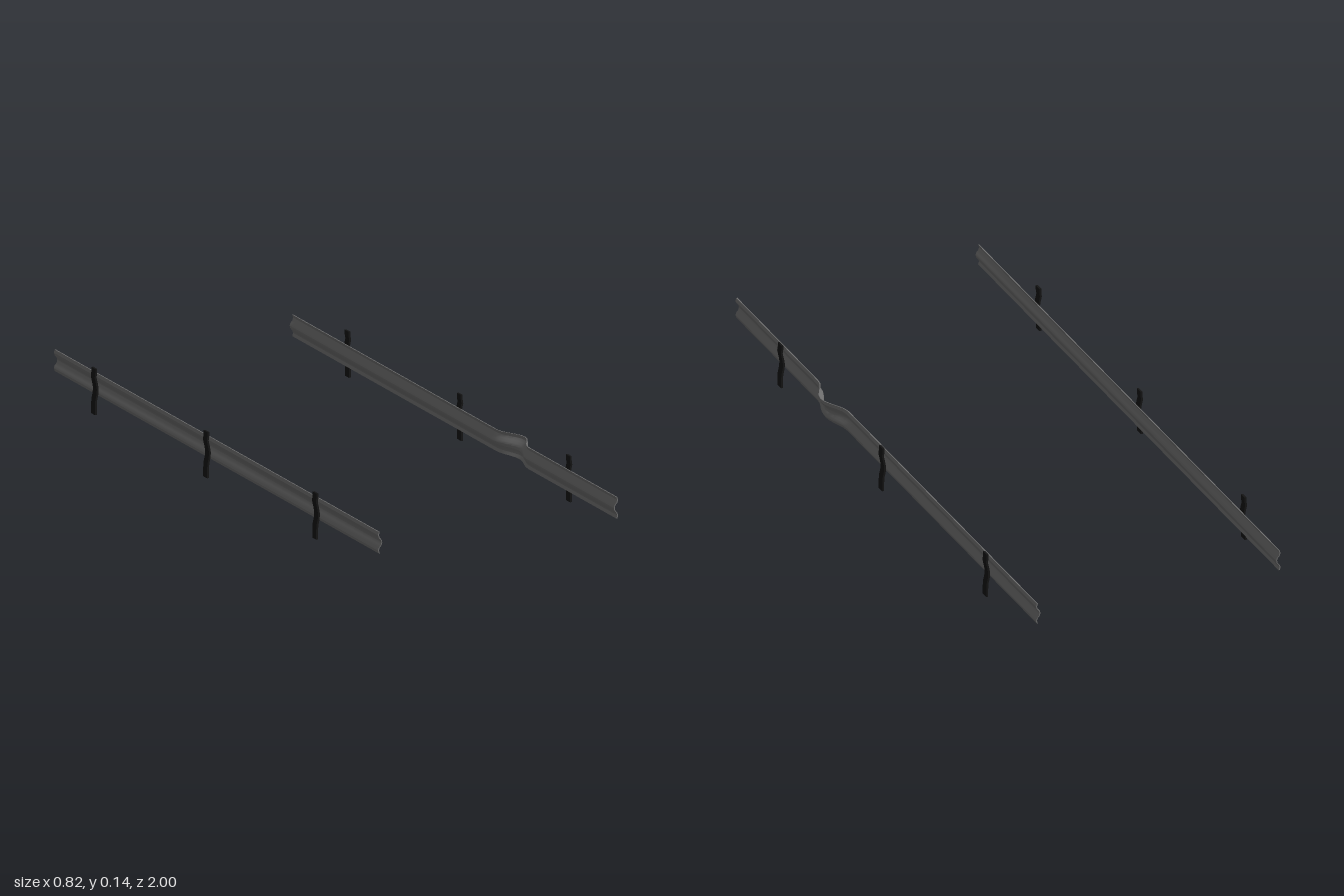
import * as THREE from 'three';
import { toCreasedNormals } from 'three/addons/utils/BufferGeometryUtils.js';

const railMaterial = new THREE.MeshStandardMaterial({ color: 0x707070, side: THREE.DoubleSide });
const postMaterial = new THREE.MeshStandardMaterial({ color: 0x141414 });

// Profiles for one side, as [x, y]; the bulge faces the road (-x)
const railProfile = [[0.366, 0.108], [0.369, 0.099], [0.366, 0.091], [0.36, 0.084], [0.358, 0.077],
  [0.36, 0.069], [0.366, 0.062], [0.369, 0.054], [0.366, 0.045]];
const postProfile = [[0.391, 0.135], [0.391, 0.122], [0.393, 0.11], [0.389, 0.092], [0.386, 0.075],
  [0.387, 0.06], [0.391, 0.042], [0.392, 0.025], [0.392, 0]];

// Strip of even thickness along a profile, drawn out along z
function stripGeometry(profile, thickness, length, steps) {
  const h = thickness / 2;
  const outline = [
    ...profile.map(([x, y]) => new THREE.Vector2(x + h, y)),
    ...profile.map(([x, y]) => new THREE.Vector2(x - h, y)).reverse(),
  ];
  const geometry = new THREE.ExtrudeGeometry(new THREE.Shape(outline), { depth: length, steps, bevelEnabled: false });
  return geometry.translate(0, 0, -length / 2);
}

// Crash dent: pushes the rail outward, more at its top edge
function dent(geometry, centre, reach) {
  const p = geometry.attributes.position;
  for (let i = 0; i < p.count; i++) {
    const t = (p.getZ(i) - centre) / reach;
    if (Math.abs(t) >= 1) continue;
    const height = (p.getY(i) - 0.045) / 0.063;
    const bell = 0.5 + 0.5 * Math.cos(Math.PI * t);
    p.setX(i, p.getX(i) + bell * (0.022 + 0.016 * height));
  }
  geometry.computeVertexNormals();
  return geometry;
}

function createBarrier(name, side, offset, dented) {
  const barrier = new THREE.Group();
  barrier.name = name;
  const place = (profile) => profile.map(([x, y]) => [side * (x + offset), y]);

  // Long corrugated rail
  let railGeometry = stripGeometry(place(railProfile), 0.003, 2, dented ? 100 : 1);
  if (dented) railGeometry = dent(railGeometry, 0.358, 0.1);
  const rail = new THREE.Mesh(toCreasedNormals(railGeometry, 0.5), railMaterial);
  rail.name = 'rail';
  barrier.add(rail);

  // Three bent posts behind the rail
  const postGeometry = stripGeometry(place(postProfile), 0.006, 0.024, 1);
  [0.655, -0.018, -0.71].forEach((z) => {
    const post = new THREE.Mesh(postGeometry, postMaterial);
    post.name = 'post';
    post.position.z = z;
    barrier.add(post);
  });
  return barrier;
}

export function createModel() {
  const model = new THREE.Group();
  model.name = 'roadBarriers';
  model.add(createBarrier('leftBarrier', 1, 0, true));
  model.add(createBarrier('rightBarrier', -1, 0.017, false));
  return model;
}
